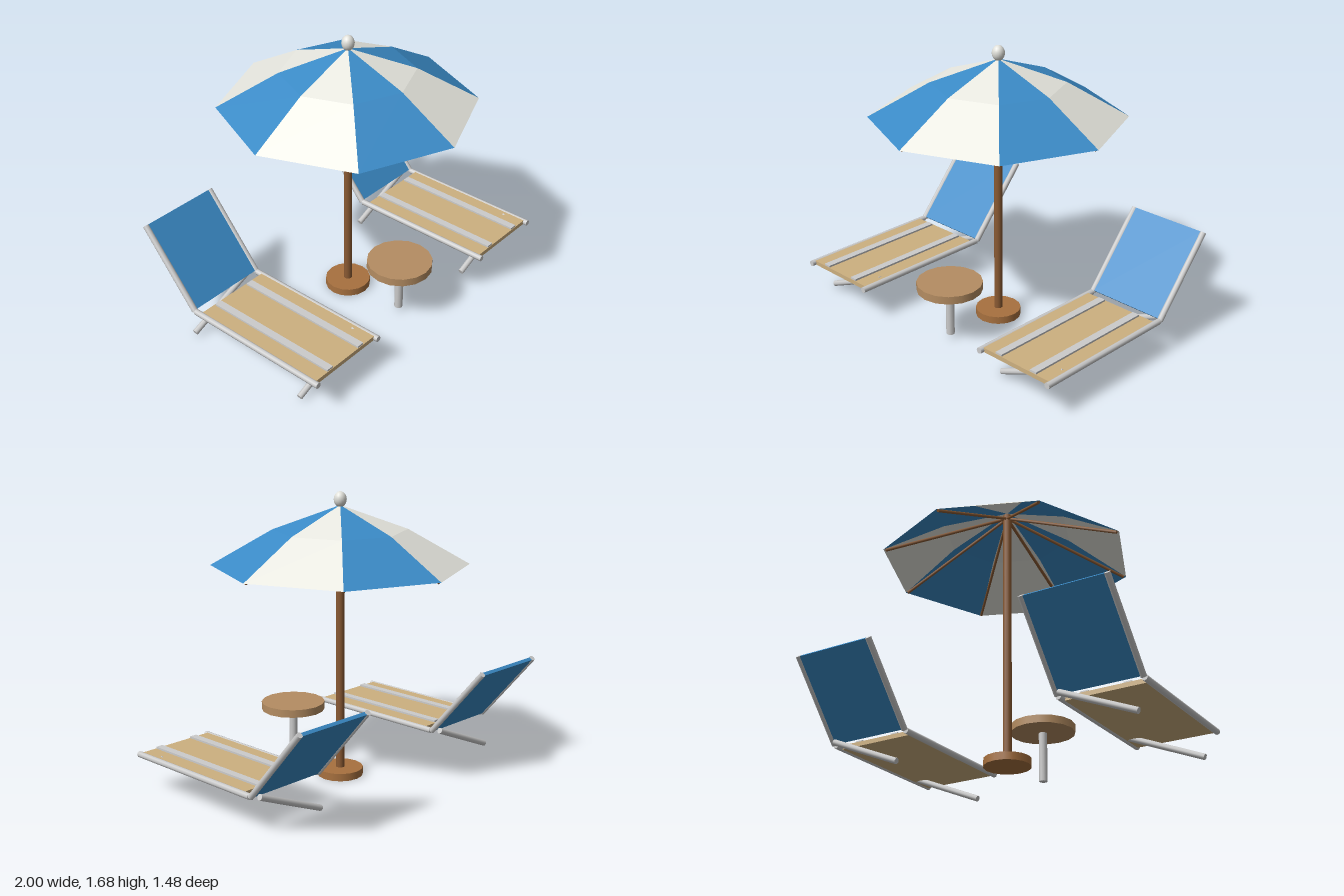
import * as THREE from 'three';

const mat = (color, extra = {}) => new THREE.MeshStandardMaterial({ color, ...extra });
const blue = mat(0x3a8ac6), tan = mat(0xcdb080), metal = mat(0xcccccc);
const poleWood = mat(0x8a5a33), baseWood = mat(0xa8713f), tableWood = mat(0xb58d62);
const panelBlue = mat(0x3a8ac6, { side: THREE.DoubleSide, flatShading: true });
const panelWhite = mat(0xe8e8e0, { side: THREE.DoubleSide, flatShading: true });
const knobWhite = mat(0xe0e0da);

function add(parent, name, geometry, material, x = 0, y = 0, z = 0) {
  const mesh = new THREE.Mesh(geometry, material);
  mesh.name = name;
  mesh.position.set(x, y, z);
  parent.add(mesh);
  return mesh;
}

// Straight round bar between two points
function bar(parent, name, a, b, radius, material, sides = 8) {
  const from = new THREE.Vector3(...a), to = new THREE.Vector3(...b);
  const dir = to.clone().sub(from);
  const mesh = add(parent, name, new THREE.CylinderGeometry(radius, radius, dir.length(), sides), material);
  mesh.position.copy(from).add(to).multiplyScalar(0.5);
  mesh.quaternion.setFromUnitVectors(new THREE.Vector3(0, 1, 0), dir.normalize());
  return mesh;
}

function createUmbrella() {
  const g = new THREE.Group();
  g.name = 'umbrella';
  add(g, 'umbrellaBase', new THREE.CylinderGeometry(0.135, 0.135, 0.045, 16), baseWood, 0, 0.0225, 0);
  bar(g, 'pole', [0, 0.02, 0], [0, 1.59, 0], 0.025, poleWood, 12);

  // Canopy: eight two-step panels in alternating colours, with a rib under each seam
  const rings = [[0, 1.605], [0.385, 1.468], [0.74, 1.265]];
  for (let i = 0; i < 8; i++) {
    const a = i * Math.PI / 4, b = a + Math.PI / 4;
    const p = (ang, [r, y]) => [r * Math.cos(ang), y, r * Math.sin(ang)];
    const [top, mid, rim] = rings;
    const corners = [
      p(a, top), p(b, mid), p(a, mid),
      p(a, mid), p(b, mid), p(b, rim),
      p(a, mid), p(b, rim), p(a, rim),
    ].flat();
    const geo = new THREE.BufferGeometry();
    geo.setAttribute('position', new THREE.Float32BufferAttribute(corners, 3));
    geo.computeVertexNormals();
    add(g, 'canopyPanel', geo, i % 2 ? panelWhite : panelBlue);
    bar(g, 'rib', p(a, [0.015, 1.565]), p(a, [0.725, 1.262]), 0.009, poleWood, 6);
  }

  const finial = add(g, 'finial', new THREE.SphereGeometry(0.037, 16, 12), knobWhite, 0, 1.638, 0);
  finial.scale.y = 1.22;
  return g;
}

function createTable() {
  const g = new THREE.Group();
  g.name = 'sideTable';
  add(g, 'tableTop', new THREE.CylinderGeometry(0.192, 0.192, 0.047, 16), tableWood, 0, 0.342, 0);
  bar(g, 'tableLeg', [0, 0.025, 0], [0, 0.33, 0], 0.025, metal, 10);
  g.position.z = 0.397;
  return g;
}

function createLounger(x) {
  const g = new THREE.Group();
  g.name = 'lounger';
  const r = 0.018, half = 0.247;

  // Seat with two raised slats
  add(g, 'seat', new THREE.BoxGeometry(2 * half - 0.01, 0.026, 0.865), tan, 0, 0.218, 0.1875);
  for (const s of [-1, 1]) {
    add(g, 'slat', new THREE.BoxGeometry(0.045, 0.018, 0.852), metal, s * 0.125, 0.233, 0.191);
    bar(g, 'seatRail', [s * half, 0.217, 0.643], [s * half, 0.217, -0.29], r, metal);
    bar(g, 'backRail', [s * half, 0.217, -0.298], [s * half, 0.642, -0.664], r, metal);
  }

  // Reclined back panel
  const back = add(g, 'backPanel', new THREE.BoxGeometry(2 * half - 0.02, 0.553, 0.02), blue, 0, 0.432, -0.483);
  back.rotation.x = -Math.atan2(0.366, 0.425);

  // Slanted legs, front and back, leaning the same way
  for (const z of [0.485, -0.336])
    bar(g, 'leg', [-0.228, 0.027, z], [0.22, 0.219, z], r, metal);

  g.position.x = x;
  return g;
}

export function createModel() {
  const model = new THREE.Group();
  model.name = 'beachSet';
  model.add(createUmbrella(), createTable(), createLounger(-0.735), createLounger(0.735));
  return model;
}
